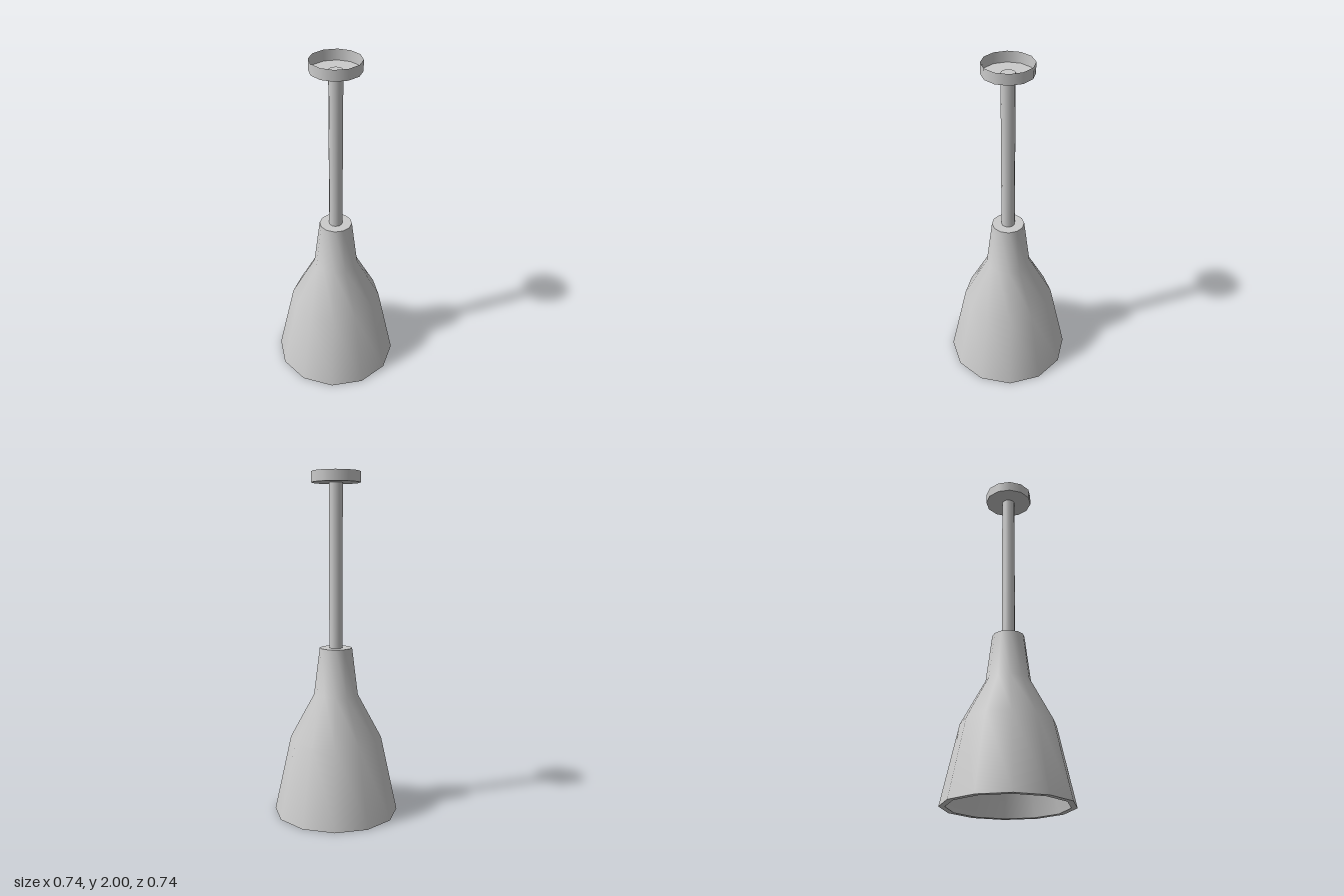
import * as THREE from 'three';

const SIDES = 12;
const grey = new THREE.MeshStandardMaterial({ color: 0xcccccc });
const greyThin = new THREE.MeshStandardMaterial({ color: 0xcccccc, side: THREE.DoubleSide });

// Each strip is its own lathe: smooth within a strip, sharp where strips meet
function turned(name, strips, material = grey) {
  const group = new THREE.Group();
  group.name = name;
  for (const [part, points] of Object.entries(strips)) {
    const profile = points.map(([r, y]) => new THREE.Vector2(r, y));
    const mesh = new THREE.Mesh(new THREE.LatheGeometry(profile, SIDES), material);
    mesh.name = part;
    group.add(mesh);
  }
  return group;
}

export function createModel() {
  const model = new THREE.Group();
  model.name = 'pendantLamp';

  // Hollow bell shade, open below and closed at the neck
  model.add(turned('shade', {
    shadeOuter: [[0.368, 0], [0.27, 0.45], [0.13, 0.71], [0.095, 0.99]],
    shadeTop: [[0.095, 0.99], [0, 0.99]],
    shadeInner: [[0.068, 0.96], [0.1, 0.7], [0.238, 0.44], [0.334, 0]],
    shadeCeiling: [[0, 0.96], [0.068, 0.96]],
    shadeRim: [[0.334, 0], [0.368, 0]],
  }));

  // Hanging rod, its end just showing through the canopy floor
  model.add(turned('rod', {
    rodSide: [[0.039, 0.98], [0.039, 1.943]],
    rodTop: [[0.039, 1.943], [0, 1.943]],
  }));

  // Thin ceiling canopy, open at the top
  model.add(turned('canopy', {
    canopyFloor: [[0, 1.938], [0.142, 1.938]],
    canopyWall: [[0.142, 1.938], [0.142, 2]],
  }, greyThin));

  return model;
}
